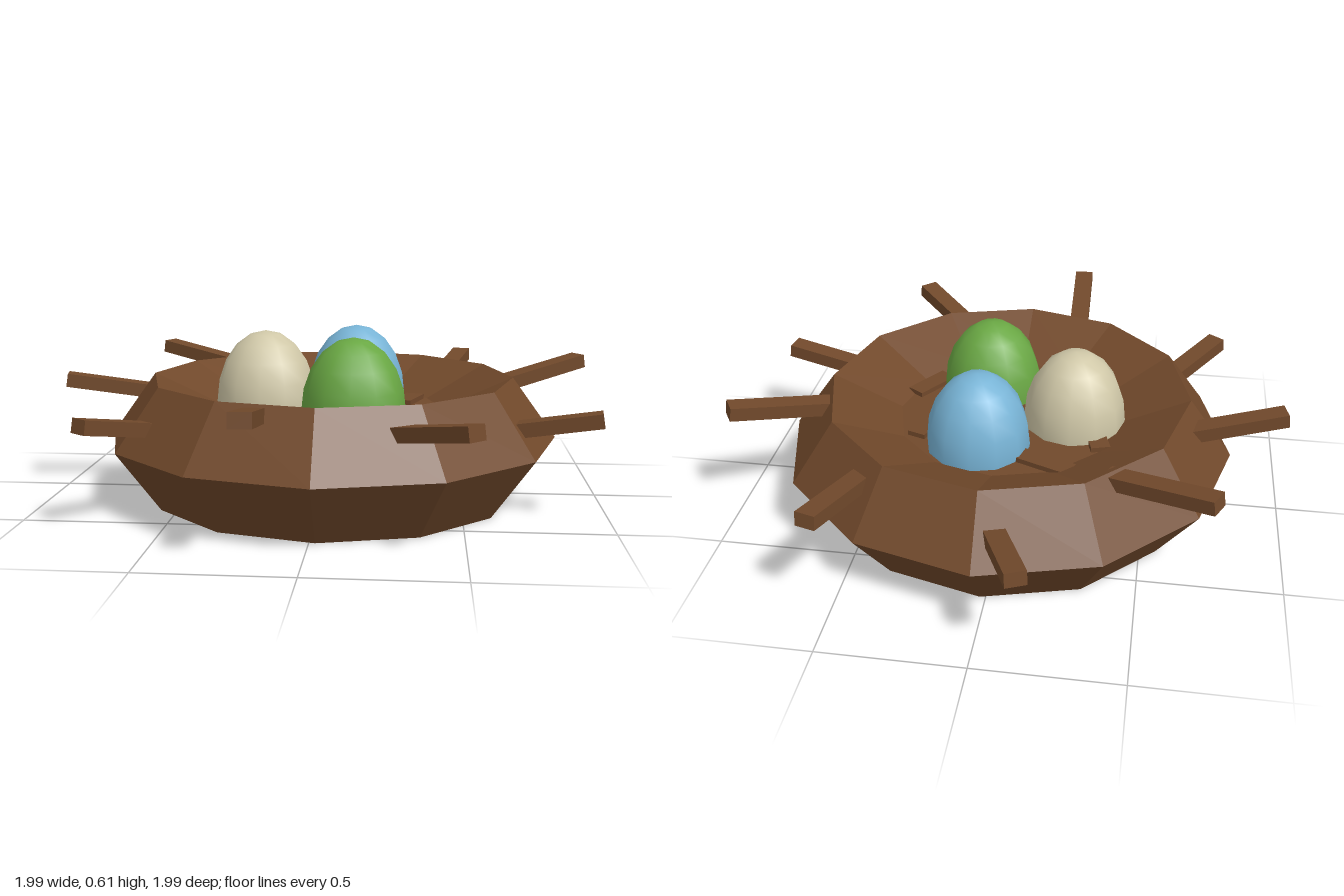
import * as THREE from 'three';

const mat = (name, color, flatShading = false) => {
  const m = new THREE.MeshStandardMaterial({ color, flatShading });
  m.name = name;
  return m;
};

export function createModel() {
  const root = new THREE.Group();
  root.name = 'nestWithEggs';
  const bark = mat('bark brown', 0x71492b, true);
  const add = (name, geo, material, x = 0, y = 0, z = 0) => {
    const mesh = new THREE.Mesh(geo, material);
    mesh.name = name;
    mesh.position.set(x, y, z);
    root.add(mesh);
    return mesh;
  };

  // Twelve-sided bowl with a recessed base and a sloping inner wall
  const profile = [
    [0, 0.07], [0.514, 0.07], [0.667, 0], [0.827, 0.22],
    [0.667, 0.44], [0.41, 0.322], [0, 0.322],
  ].map(([r, y]) => new THREE.Vector2(r, y));
  add('nestBowl', new THREE.LatheGeometry(profile, 12), bark, 0.02, 0, 0.005);

  // A square twig from a to b, its long axis on z
  const twig = (name, a, b, width, height) => {
    const p = new THREE.Vector3(...a), q = new THREE.Vector3(...b);
    const mesh = add(name, new THREE.BoxGeometry(width, height, p.distanceTo(q)), bark);
    mesh.position.copy(p).add(q).multiplyScalar(0.5);
    mesh.lookAt(p);
  };

  // Twigs sticking out of the rim: outer end, inner end
  const rimTwigs = [
    [[-0.15, 0.36, -0.98], [-0.03, 0.305, -0.69]],
    [[-0.74, 0.46, -0.65], [-0.38, 0.40, -0.47]],
    [[0.53, 0.41, -0.86], [0.43, 0.35, -0.50]],
    [[0.97, 0.46, -0.34], [0.64, 0.39, -0.13]],
    [[0.965, 0.355, 0.35], [0.63, 0.30, 0.305]],
    [[0.515, 0.41, 0.87], [0.27, 0.35, 0.62]],
    [[-0.165, 0.46, 0.99], [-0.18, 0.40, 0.60]],
    [[-0.75, 0.36, 0.64], [-0.55, 0.30, 0.38]],
    [[-0.99, 0.41, -0.005], [-0.62, 0.35, -0.085]],
  ];
  for (const [a, b] of rimTwigs) twig('rimTwig', a, b, 0.072, 0.05);

  // Short twigs lying on the floor of the bowl
  const floorTwigs = [
    [-0.34, -0.2, -0.28, 0.0], [-0.25, -0.35, -0.05, -0.27],
    [0.28, -0.05, 0.33, -0.2], [0.4, 0.1, 0.3, 0.25],
    [-0.13, 0.2, -0.12, 0.36], [-0.33, 0.14, -0.25, 0.28],
  ];
  for (const [x1, z1, x2, z2] of floorTwigs)
    twig('floorTwig', [x1, 0.325, z1], [x2, 0.325, z2], 0.07, 0.03);

  // Eggs standing upright
  const egg = new THREE.SphereGeometry(0.187, 12, 10).scale(1, 1.43, 1);
  add('creamEgg', egg, mat('egg cream', 0xd0c8a8), -0.225, 0.338, 0.005);
  add('blueEgg', egg, mat('egg blue', 0x78b4d6), 0.1, 0.338, -0.205);
  add('greenEgg', egg, mat('egg green', 0x6aa844), 0.113, 0.338, 0.2);

  return root;
}
